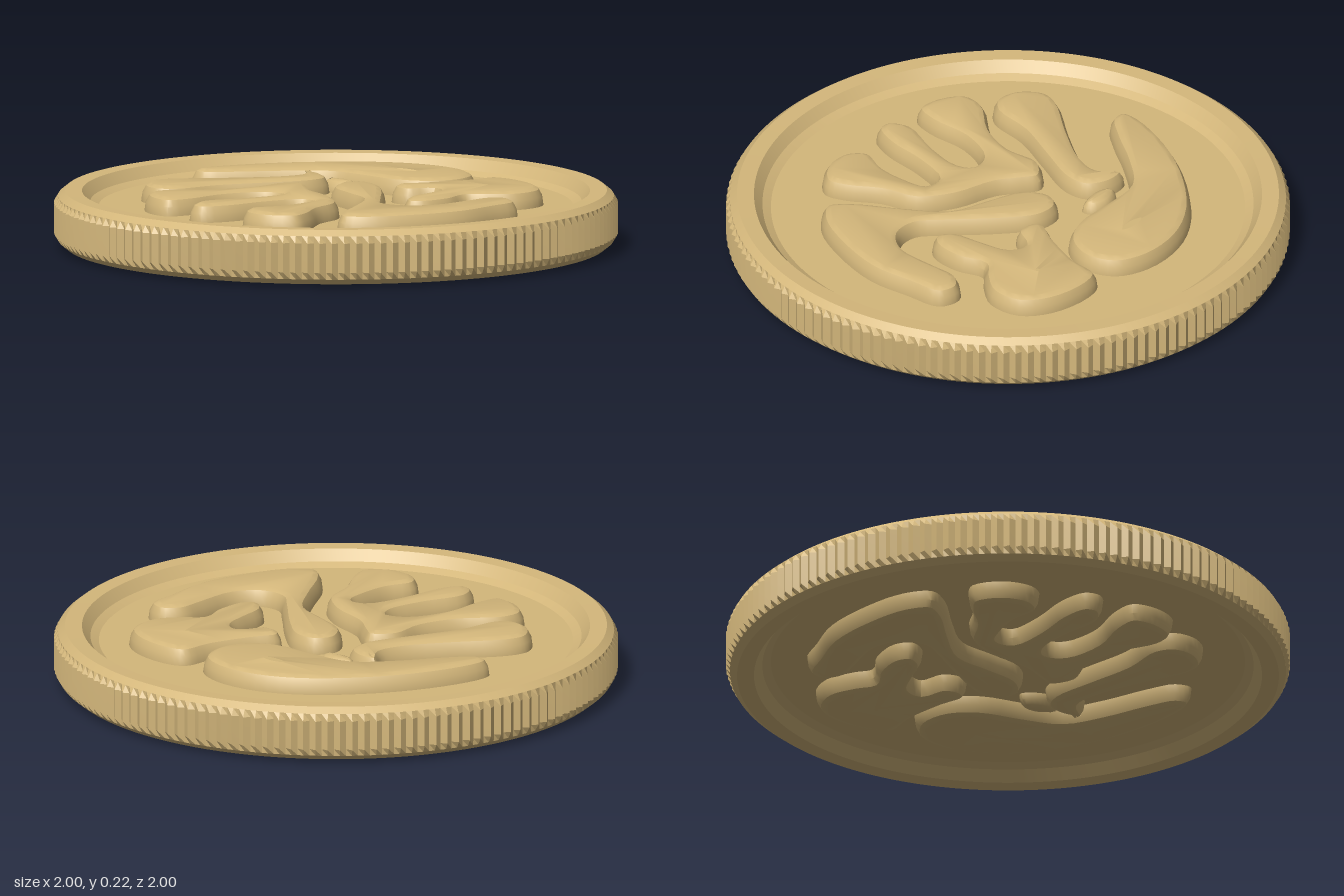
import * as THREE from 'three';
import { toCreasedNormals } from 'three/addons/utils/BufferGeometryUtils.js';

const HEIGHT = 0.215, FIELD = 0.15, REEDS = 144;

// Closed smooth loop through [x, z] pairs
function loop(pts, perPoint = 4) {
  const curve = new THREE.CatmullRomCurve3(
    pts.map(([x, z]) => new THREE.Vector3(x, -z, 0)), true, 'centripetal');
  return curve.getPoints(pts.length * perPoint).slice(0, -1).map(p => new THREE.Vector2(p.x, p.y));
}

function ring(cx, cz, rx, rz, tilt, sides) {
  const pts = [];
  for (let i = 0; i < sides; i++) {
    const a = (i / sides) * Math.PI * 2, x = rx * Math.cos(a), z = rz * Math.sin(a);
    pts.push([cx + x * Math.cos(tilt) - z * Math.sin(tilt), cz + x * Math.sin(tilt) + z * Math.cos(tilt)]);
  }
  return pts;
}

// Raised pad with rounded shoulders, its lower half sunk in the coin
function relief(name, outline, material, hole, top = HEIGHT) {
  const shape = new THREE.Shape(loop(outline));
  if (hole) shape.holes.push(new THREE.Path(loop(hole, 2)));
  const rise = top - FIELD, depth = 0.01;
  const geo = new THREE.ExtrudeGeometry(shape, {
    depth, bevelEnabled: true, bevelThickness: rise, bevelSize: 0.035, bevelOffset: -0.035, bevelSegments: 3,
  });
  geo.rotateX(-Math.PI / 2);
  geo.translate(0, FIELD - depth, 0);
  const mesh = new THREE.Mesh(toCreasedNormals(geo, 0.6), material);
  mesh.name = name;
  return mesh;
}

const longArc = [
  [-0.69, 0.07], [-0.66, -0.1], [-0.56, -0.32], [-0.4, -0.52], [-0.24, -0.62], [-0.07, -0.645], [0.05, -0.6],
  [0.1, -0.49], [0.06, -0.37], [-0.05, -0.3], [-0.21, -0.28], [-0.35, -0.25], [-0.45, -0.13], [-0.54, 0.02],
  [-0.61, 0.11], [-0.67, 0.115],
];
const forkedPad = [
  [0.14, -0.6], [0.22, -0.635], [0.38, -0.62], [0.48, -0.55], [0.5, -0.43], [0.44, -0.33], [0.395, -0.28],
  [0.43, -0.18], [0.425, -0.06], [0.375, -0.015], [0.31, -0.06], [0.28, -0.17], [0.25, -0.26], [0.2, -0.28],
  [0.155, -0.2], [0.085, -0.19], [0.045, -0.23], [0.085, -0.33], [0.13, -0.48],
];
const leftBar = [
  [-0.4, -0.18], [-0.32, -0.2], [-0.235, -0.16], [-0.215, -0.07], [-0.27, 0.1], [-0.33, 0.27], [-0.35, 0.43],
  [-0.41, 0.49], [-0.5, 0.48], [-0.57, 0.4], [-0.56, 0.32], [-0.45, 0.15], [-0.36, -0.01], [-0.345, -0.1],
];
const hookedBar = [
  [-0.11, -0.105], [-0.075, -0.18], [0.02, -0.19], [0.14, -0.115], [0.3, 0.02], [0.38, 0.08], [0.46, 0.07],
  [0.515, -0.01], [0.51, -0.16], [0.505, -0.265], [0.56, -0.33], [0.64, -0.31], [0.67, -0.18], [0.695, -0.02],
  [0.66, 0.18], [0.595, 0.335], [0.515, 0.4], [0.435, 0.345], [0.33, 0.2], [0.22, 0.07], [0.085, 0.03],
  [-0.05, -0.015],
];
const threeFingers = [
  [-0.165, 0], [-0.1, 0.03], [-0.02, 0.08], [0.14, 0.12], [0.26, 0.2], [0.31, 0.325], [0.385, 0.43],
  [0.41, 0.51], [0.33, 0.59], [0.22, 0.6], [0.16, 0.54], [0.19, 0.43], [0.185, 0.32], [0.165, 0.25],
  [0.115, 0.25], [0.08, 0.38], [0.07, 0.54], [0.03, 0.64], [-0.03, 0.645], [-0.075, 0.565], [-0.03, 0.4],
  [-0.015, 0.27], [-0.04, 0.225], [-0.1, 0.245], [-0.15, 0.38], [-0.14, 0.54], [-0.165, 0.635], [-0.26, 0.64],
  [-0.355, 0.58], [-0.355, 0.485], [-0.26, 0.35], [-0.22, 0.215], [-0.235, 0.08],
];
const smallBlob = [[-0.32, -0.22], [-0.25, -0.265], [-0.18, -0.25], [-0.165, -0.21], [-0.235, -0.175], [-0.3, -0.185]];

export function createModel() {
  const gold = new THREE.MeshStandardMaterial({ color: 0xd4b77b });
  gold.name = 'gold';
  const coin = new THREE.Group();
  coin.name = 'coin';

  // Disc with raised rims, symmetric about mid height
  const upper = [[0.993, 0.16], [0.985, 0.185], [0.96, 0.205], [0.9, 0.203], [0.87, 0.165], [0.84, FIELD], [0, FIELD]];
  const lower = upper.map(([r, y]) => [r, HEIGHT - y]).reverse();
  const profile = [...lower, ...upper].map(([r, y]) => new THREE.Vector2(r, y));
  const disc = new THREE.LatheGeometry(profile, REEDS * 2);

  // Reeded edge: push alternate columns of the outer wall in and out
  const pos = disc.attributes.position;
  for (let i = 0; i < pos.count; i++) {
    const x = pos.getX(i), z = pos.getZ(i);
    if (Math.hypot(x, z) < 0.99) continue;
    const column = Math.floor(i / profile.length);
    const k = (column % 2 ? 0.986 : 1) / 0.993;
    pos.setX(i, x * k);
    pos.setZ(i, z * k);
  }
  const body = new THREE.Mesh(toCreasedNormals(disc, 0.35), gold);
  body.name = 'reededDisc';
  coin.add(body);

  // Abstract relief on one face
  const face = new THREE.Group();
  face.name = 'topRelief';
  face.add(
    relief('longArc', longArc, gold, ring(-0.165, -0.46, 0.09, 0.05, -0.1, 12)),
    relief('forkedPad', forkedPad, gold, ring(0.29, -0.45, 0.045, 0.045, Math.PI / 6, 6)),
    relief('leftBar', leftBar, gold),
    relief('hookedBar', hookedBar, gold),
    relief('threeFingers', threeFingers, gold),
    relief('smallBlob', smallBlob, gold, null, 0.195),
  );
  coin.add(face);

  // Same relief on the underside, turned over
  const back = face.clone();
  back.name = 'bottomRelief';
  back.rotation.z = Math.PI;
  back.position.y = HEIGHT;
  coin.add(back);

  return coin;
}
